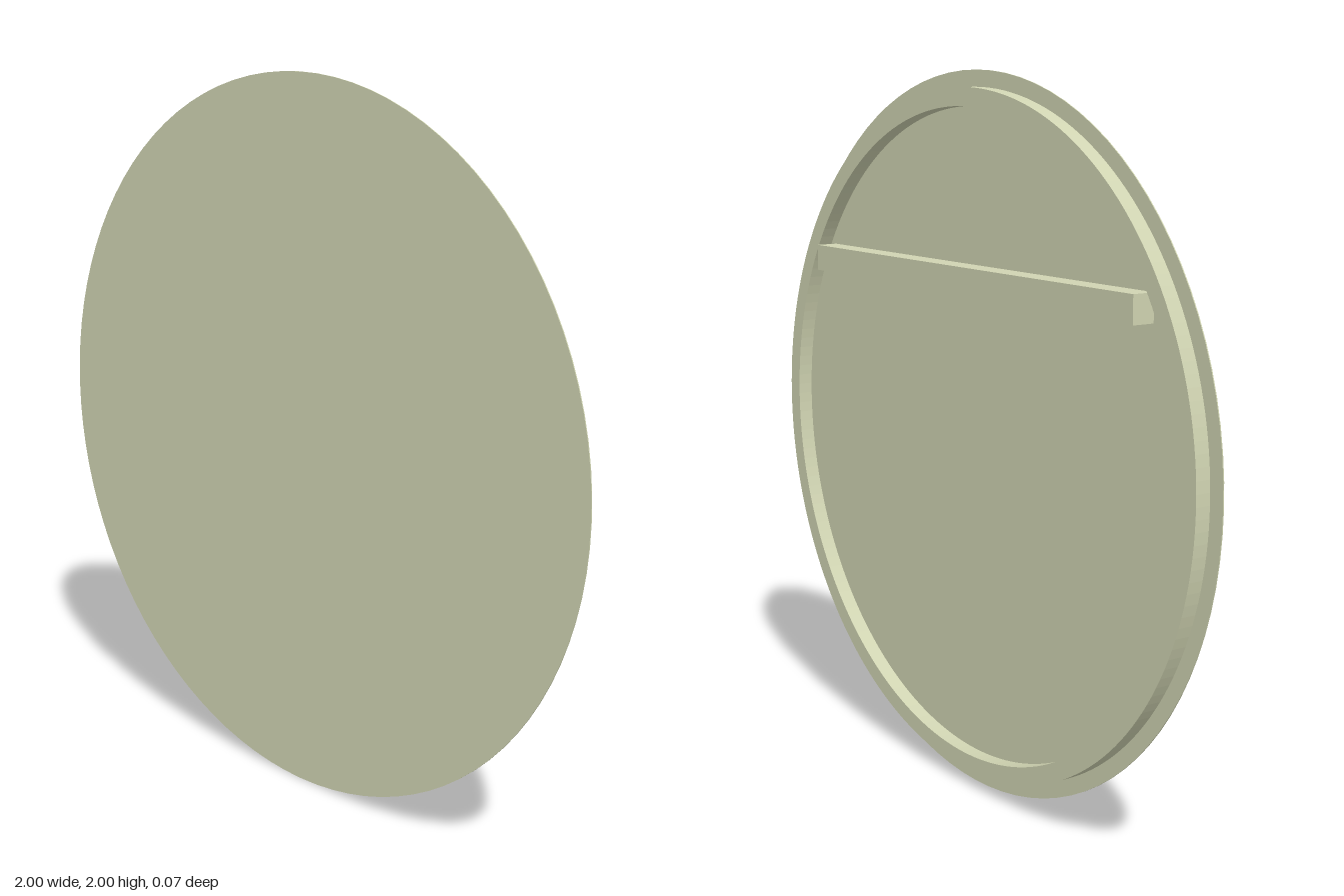
import * as THREE from 'three';

const BACK = -0.034, FRONT = 0.034, RIM_BACK = -0.0125, PLATE = 0.003;
const CENTRE_Y = 1, SEGMENTS = 96;

export function createModel() {
  const group = new THREE.Group();
  const material = new THREE.MeshStandardMaterial({ color: 0xd0d4b2 });

  const add = (name, geometry, y, z) => {
    const mesh = new THREE.Mesh(geometry, material);
    mesh.name = name;
    mesh.position.set(0, y, z);
    group.add(mesh);
  };

  // Thin round front plate
  const plate = new THREE.CylinderGeometry(1, 1, PLATE, SEGMENTS).rotateX(Math.PI / 2);
  add('frontPlate', plate, CENTRE_Y, FRONT - PLATE / 2);

  // Raised ring set in from the edge on the back
  const ring = new THREE.Shape().absarc(0, 0, 0.955, 0, Math.PI * 2);
  ring.holes.push(new THREE.Path().absarc(0, 0, 0.905, 0, Math.PI * 2, true));
  const rim = new THREE.ExtrudeGeometry(ring, {
    depth: FRONT - PLATE - RIM_BACK, bevelEnabled: false, curveSegments: SEGMENTS,
  });
  add('backRim', rim, CENTRE_Y, RIM_BACK);

  // Horizontal hanging bar across the upper back
  const barDepth = FRONT - PLATE - BACK;
  add('hangingBar', new THREE.BoxGeometry(1.48, 0.075, barDepth), 1.443, BACK + barDepth / 2);

  return group;
}
